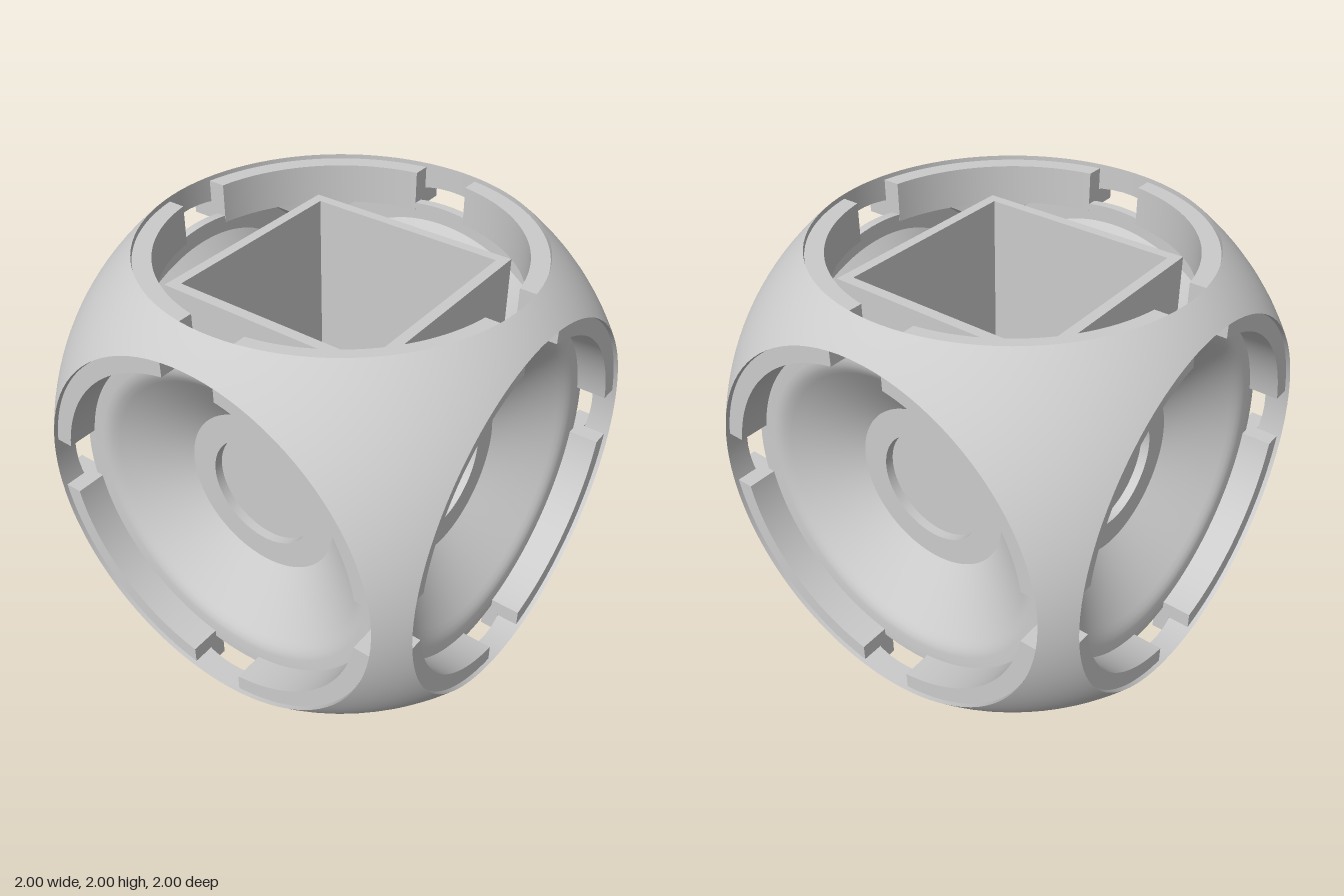
import * as THREE from 'three';
import { toCreasedNormals } from 'three/addons/utils/BufferGeometryUtils.js';

const OPEN = 0.885;                      // radius of the round openings
const R = Math.hypot(1, OPEN);           // radius of the outer sphere
const RING_IN = 0.8, RING_OUT = 0.882, RING_LOW = 0.79, RING_TOP = 0.98;
const NOTCH = 0.135;                     // half width of the notches
const SEG = 96;

// Surface from a point rule and a normal rule, around the z axis
function grid(point, normal, nu, nv) {
  const pos = [], nor = [], idx = [];
  for (let i = 0; i <= nu; i++) {
    for (let j = 0; j <= nv; j++) {
      const t = (i / nu) * Math.PI * 2;
      const p = point(t, j / nv);
      pos.push(...p);
      nor.push(...normal(t, p));
    }
  }
  for (let i = 0; i < nu; i++) {
    for (let j = 0; j < nv; j++) {
      const a = i * (nv + 1) + j, b = a + nv + 1;
      idx.push(a, a + 1, b, b, a + 1, b + 1);
    }
  }
  const g = new THREE.BufferGeometry();
  g.setAttribute('position', new THREE.Float32BufferAttribute(pos, 3));
  g.setAttribute('normal', new THREE.Float32BufferAttribute(nor, 3));
  g.setIndex(idx);
  return g;
}

const squareReach = (t) => Math.max(Math.abs(Math.cos(t)), Math.abs(Math.sin(t)));

// One sixth of the spherical shell, from the opening's rim to the cube diagonals
function shellGeometry() {
  return grid((t, v) => {
    const r = THREE.MathUtils.lerp(OPEN, 1 / squareReach(t), v);
    return new THREE.Vector3(r * Math.cos(t), r * Math.sin(t), 1).setLength(R).toArray();
  }, (t, p) => p.map((c) => c / R), SEG, 10);
}

// Cylindrical wall of an opening, running in until it meets its neighbours
function wallGeometry() {
  return grid((t, v) => [
    OPEN * Math.cos(t), OPEN * Math.sin(t),
    THREE.MathUtils.lerp(OPEN * squareReach(t), 1, v),
  ], (t) => [-Math.cos(t), -Math.sin(t), 0], SEG, 2);
}

// Quarter of the inner ring, with parallel-sided notches at its ends
function ringGeometry() {
  const a = Math.asin(NOTCH / RING_OUT), b = Math.asin(NOTCH / RING_IN);
  const s = new THREE.Shape();
  s.absarc(0, 0, RING_OUT, a, Math.PI / 2 - a, false);
  s.absarc(0, 0, RING_IN, Math.PI / 2 - b, b, true);
  s.closePath();
  const g = new THREE.ExtrudeGeometry(s, {
    depth: RING_TOP - RING_LOW, bevelEnabled: false, curveSegments: 24,
  });
  g.translate(0, 0, RING_LOW);
  return toCreasedNormals(g, 0.5);
}

// Conical dish with a flat holed centre and a flat flange
function dishGeometry() {
  const profile = [
    [0.27, 0.556], [0.44, 0.556], [0.755, 0.79], [0.835, 0.79], [0.835, 0.835],
    [0.745, 0.835], [0.72, 0.831], [0.695, 0.82], [0.67, 0.803],
    [0.4, 0.6], [0.27, 0.6], [0.27, 0.556],
  ].map(([r, z]) => new THREE.Vector2(r, z));
  const g = new THREE.LatheGeometry(profile, SEG);
  g.rotateX(Math.PI / 2);
  return toCreasedNormals(g, 0.5);
}

// Open square container in the middle
function createBox(material) {
  const box = new THREE.Group();
  box.name = 'innerBox';
  const out = 0.537, inn = 0.487, low = -0.537, top = 0.85;
  const square = (Type, h) => new Type([
    new THREE.Vector2(-h, -h), new THREE.Vector2(h, -h),
    new THREE.Vector2(h, h), new THREE.Vector2(-h, h),
  ]);
  const frame = square(THREE.Shape, out);
  frame.holes.push(square(THREE.Path, inn));
  const wallGeo = new THREE.ExtrudeGeometry(frame, { depth: top - low, bevelEnabled: false });
  wallGeo.rotateX(-Math.PI / 2);
  const walls = new THREE.Mesh(wallGeo, material);
  walls.name = 'boxWalls';
  walls.position.y = low;
  const floor = new THREE.Mesh(new THREE.BoxGeometry(inn * 2, 0.05, inn * 2), material);
  floor.name = 'boxFloor';
  floor.position.y = low + 0.025;
  box.add(walls, floor);
  return box;
}

export function createModel() {
  const material = new THREE.MeshStandardMaterial({ color: 0xcccccc });
  const thin = new THREE.MeshStandardMaterial({ color: 0xcccccc, side: THREE.DoubleSide });
  const shell = shellGeometry(), wall = wallGeometry();
  const ring = ringGeometry(), dish = dishGeometry();
  const model = new THREE.Group();
  model.name = 'roundedSpeakerCube';

  const H = Math.PI / 2;
  const sides = [
    ['front', 0, 0], ['left', 0, H], ['back', 0, 2 * H], ['right', 0, -H],
    ['top', -H, 0], ['bottom', H, 0],
  ];
  for (const [name, rx, ry] of sides) {
    const side = new THREE.Group();
    side.name = name + 'Side';
    side.rotation.set(rx, ry, 0);
    const add = (part, geometry, mat) => {
      const mesh = new THREE.Mesh(geometry, mat);
      mesh.name = name + part;
      side.add(mesh);
      return mesh;
    };
    add('Shell', shell, thin);
    add('OpeningWall', wall, thin);
    for (let i = 0; i < 4; i++) add('RingSegment' + (i + 1), ring, material).rotation.z = i * H;
    // The top stays open above the box
    if (name !== 'top') add('Dish', dish, material);
    model.add(side);
  }

  model.add(createBox(material));
  for (const part of model.children) part.position.y += 1;
  return model;
}
